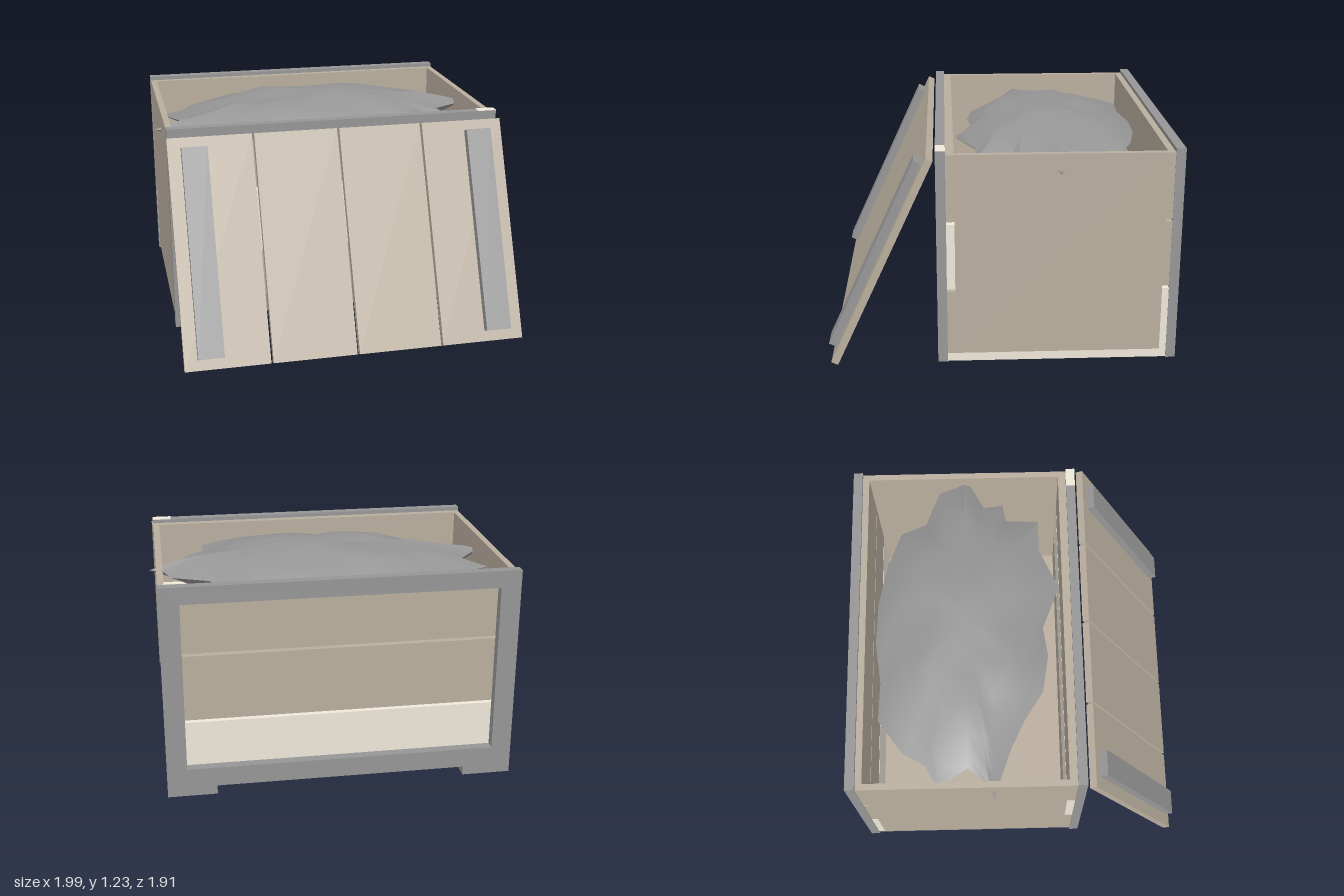
import * as THREE from 'three';
import { toCreasedNormals } from 'three/addons/utils/BufferGeometryUtils.js';

const mat = (color) => new THREE.MeshStandardMaterial({ color });
const wood = mat(0xb9ae9e), grey = mat(0x969696), pale = mat(0xefe8da);

// Box given by its limits on each axis
function block(name, material, [x0, x1], [y0, y1], [z0, z1]) {
  const m = new THREE.Mesh(new THREE.BoxGeometry(x1 - x0, y1 - y0, z1 - z0), material);
  m.position.set((x0 + x1) / 2, (y0 + y1) / 2, (z0 + z1) / 2);
  m.name = name;
  return m;
}

// End frame with two feet and one large opening
function endFrame(name, z) {
  const s = new THREE.Shape([
    [-0.96, 0.01], [-0.69, 0.01], [-0.69, 0.06], [0.69, 0.06], [0.69, 0.01], [0.96, 0.01], [0.96, 1.215], [-0.96, 1.215],
  ].map(([x, y]) => new THREE.Vector2(x, y)));
  s.holes.push(new THREE.Path([
    [-0.85, 0.17], [-0.85, 1.12], [0.85, 1.12], [0.85, 0.17],
  ].map(([x, y]) => new THREE.Vector2(x, y))));
  const m = new THREE.Mesh(new THREE.ExtrudeGeometry(s, { depth: 0.053, bevelEnabled: false }), grey);
  m.position.z = z;
  m.name = name;
  return m;
}

// Lumpy heap: a jagged outline drawn in rings towards a domed middle, closed below
function heapGeometry() {
  const outline = [
    [0.995, -0.31], [0.92, -0.27], [0.775, -0.19], [0.79, -0.08], [0.685, -0.06], [0.675, 0.13],
    [0.49, 0.13], [0.25, 0.24], [0, 0.14], [-0.17, 0.165], [-0.385, 0.13], [-0.555, 0.02],
    [-0.72, -0.06], [-0.92, -0.13], [-0.995, -0.15], [-0.92, -0.18], [-0.82, -0.3], [-0.925, -0.47],
    [-0.8, -0.535], [-0.73, -0.66], [-0.54, -0.8], [-0.315, -0.79], [-0.075, -0.82], [0.165, -0.81],
    [0.405, -0.76], [0.61, -0.68], [0.67, -0.535], [0.877, -0.455], [0.92, -0.34],
  ];
  const n = outline.length, cz = -0.3;
  const levels = [0.22, 0.42, 0.6, 0.76, 0.9, 1];
  const rings = [...levels.map((t) => [t, 1]), ...levels.slice(1, -1).reverse().map((t) => [t, -1])];
  const pos = [0, 1.215, cz], idx = [];
  rings.forEach(([t, side]) => outline.forEach(([x, z]) => {
    const a = Math.atan2((z - cz) / 0.47, x / 0.8), k = t * t;
    const px = t * (x * k + 0.8 * Math.cos(a) * (1 - k));
    const pz = t * ((z - cz) * k + 0.47 * Math.sin(a) * (1 - k));
    const bump = 0.014 * Math.sin(9 * px + 1) * Math.cos(13 * pz) + 0.012 * t * Math.sin(23 * px + 17 * pz);
    const rise = 1 - Math.pow(t, 2.8);
    const y = 1.085 + 0.012 * x + (side > 0 ? 0.135 * rise + bump * (1 - k * k) : -0.2 * rise);
    pos.push(px, y, pz + cz);
  }));
  pos.push(0, 0.88, cz);
  const last = pos.length / 3 - 1, end = 1 + (rings.length - 1) * n;
  for (let i = 0; i < n; i++) {
    const j = (i + 1) % n;
    // outline runs from +x towards -x by way of the front
    idx.push(0, 1 + j, 1 + i, last, end + i, end + j);
    for (let r = 0; r < rings.length - 1; r++) {
      const a = 1 + r * n, b = a + n;
      idx.push(a + i, a + j, b + i, a + j, b + j, b + i);
    }
  }
  const g = new THREE.BufferGeometry();
  g.setAttribute('position', new THREE.Float32BufferAttribute(pos, 3));
  g.setIndex(idx);
  return toCreasedNormals(g, 0.6);
}

export function createModel() {
  const root = new THREE.Group();
  root.name = 'crate';

  // Frames at the front and back, with a pale cap on one corner
  root.add(endFrame('frontFrame', 0.3), endFrame('backFrame', -0.957));
  root.add(block('cornerCap', pale, [0.85, 0.96], [1.213, 1.218], [0.3, 0.353]));

  // Three horizontal planks behind each frame
  const rows = [[0.06, 0.425], [0.44, 0.81], [0.825, 1.193]];
  rows.forEach((y, i) => {
    root.add(block('frontPlank', i === 1 ? pale : wood, [-0.957, 0.957], y, [0.255, 0.3]));
    root.add(block('backPlank', i === 0 ? pale : wood, [-0.957, 0.957], y, [-0.904, -0.867]));
  });

  // Solid side walls, floor and runners
  for (const s of [-1, 1]) {
    const span = (a, b) => (s > 0 ? [a, b] : [-b, -a]);
    root.add(block('sideWall', wood, span(0.922, 0.957), [0.06, 1.193], [-0.867, 0.255]));
    root.add(block('runner', grey, span(0.69, 0.95), [0.01, 0.06], [-0.904, 0.3]));
  }
  root.add(block('runnerFacing', pale, [0.95, 0.955], [0.012, 0.06], [-0.904, 0.3]));
  root.add(block('floor', wood, [-0.922, 0.922], [0.06, 0.1], [-0.867, 0.255]));

  // Contents
  const heap = new THREE.Mesh(heapGeometry(), grey);
  heap.name = 'heap';
  root.add(heap);

  // Lid leaning against the front: four boards and two battens
  const lid = new THREE.Group();
  lid.name = 'lid';
  for (let i = 0; i < 4; i++) {
    const x = (i - 1.5) * 0.486;
    lid.add(block('lidBoard', wood, [x - 0.2365, x + 0.2365], [-0.637, 0.637], [-0.02, 0.02]));
  }
  for (const x of [-0.82, 0.815]) {
    lid.add(block('lidBatten', grey, [x - 0.072, x + 0.072], [-0.577, 0.577], [0.02, 0.066]));
  }
  lid.position.set(0, 0.593, 0.651);
  lid.rotation.x = -0.435;
  root.add(lid);

  return root;
}
